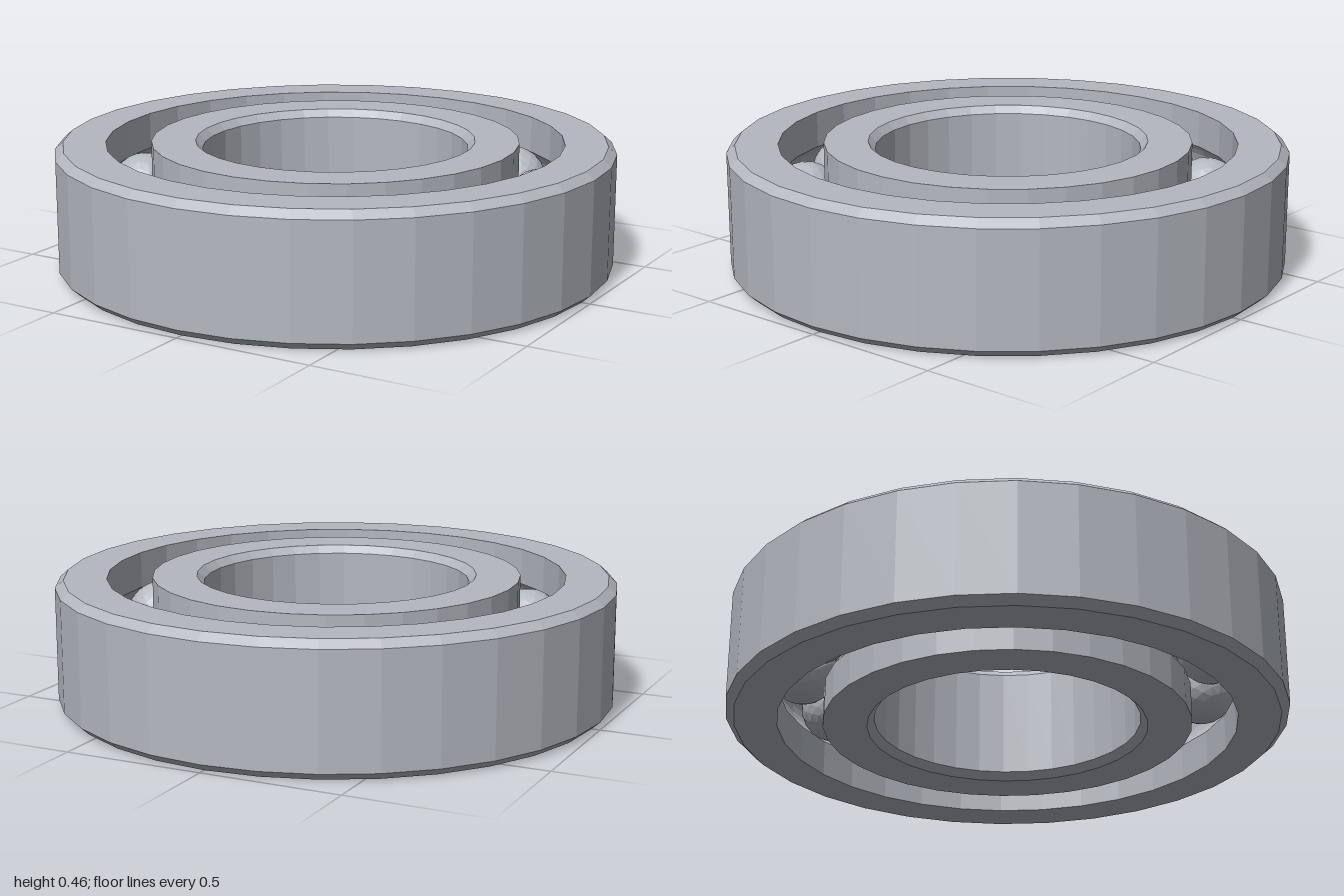
import * as THREE from 'three';

const HEIGHT = 0.457, MID = HEIGHT / 2, CHAMFER = 0.027;
const PITCH = 0.737, BALL = 0.123, GROOVE = 0.125;
const OUTER_LIP = 0.818, INNER_LIP = 0.657; // radii either side of the gap
const BALLS = 13, SEGMENTS = 32;

// Raceway arc around the ball centre, from one angle to another
function raceway(from, to, steps = 8) {
  const points = [];
  for (let i = 0; i <= steps; i++) {
    const a = from + (to - from) * i / steps;
    points.push([PITCH + GROOVE * Math.cos(a), MID + GROOVE * Math.sin(a)]);
  }
  return points;
}

// Closed ring turned from a counter-clockwise (radius, height) profile
function ring(name, profile, material) {
  const points = [...profile, profile[0]].map(([r, y]) => new THREE.Vector2(r, y));
  const mesh = new THREE.Mesh(new THREE.LatheGeometry(points, SEGMENTS), material);
  mesh.name = name;
  return mesh;
}

export function createModel() {
  const model = new THREE.Group();
  model.name = 'ballBearing';
  const steel = new THREE.MeshStandardMaterial({ color: 0xb4b8c0 });
  steel.name = 'steel';
  steel.flatShading = true;

  // Outer race: chamfered outside, grooved inside
  const outerAngle = Math.acos((OUTER_LIP - PITCH) / GROOVE);
  model.add(ring('outerRace', [
    [OUTER_LIP, 0], [0.97, 0], [1, CHAMFER],
    [1, HEIGHT - CHAMFER], [0.97, HEIGHT], [OUTER_LIP, HEIGHT],
    ...raceway(outerAngle, -outerAngle),
  ], steel));

  // Inner race: grooved outside, chamfered bore
  const innerAngle = Math.acos((PITCH - INNER_LIP) / GROOVE);
  model.add(ring('innerRace', [
    [0.5, 0], [INNER_LIP, 0],
    ...raceway(Math.PI + innerAngle, Math.PI - innerAngle),
    [INNER_LIP, HEIGHT], [0.5, HEIGHT],
    [0.475, HEIGHT - CHAMFER], [0.475, CHAMFER],
  ], steel));

  // Balls spaced evenly around the raceway
  const balls = new THREE.Group();
  balls.name = 'balls';
  const ballGeometry = new THREE.IcosahedronGeometry(BALL, 3);
  for (let i = 0; i < BALLS; i++) {
    const a = i / BALLS * Math.PI * 2;
    const ball = new THREE.Mesh(ballGeometry, steel);
    ball.name = 'ball';
    ball.position.set(PITCH * Math.cos(a), MID, PITCH * Math.sin(a));
    ball.rotation.y = -a;
    balls.add(ball);
  }
  model.add(balls);
  return model;
}
